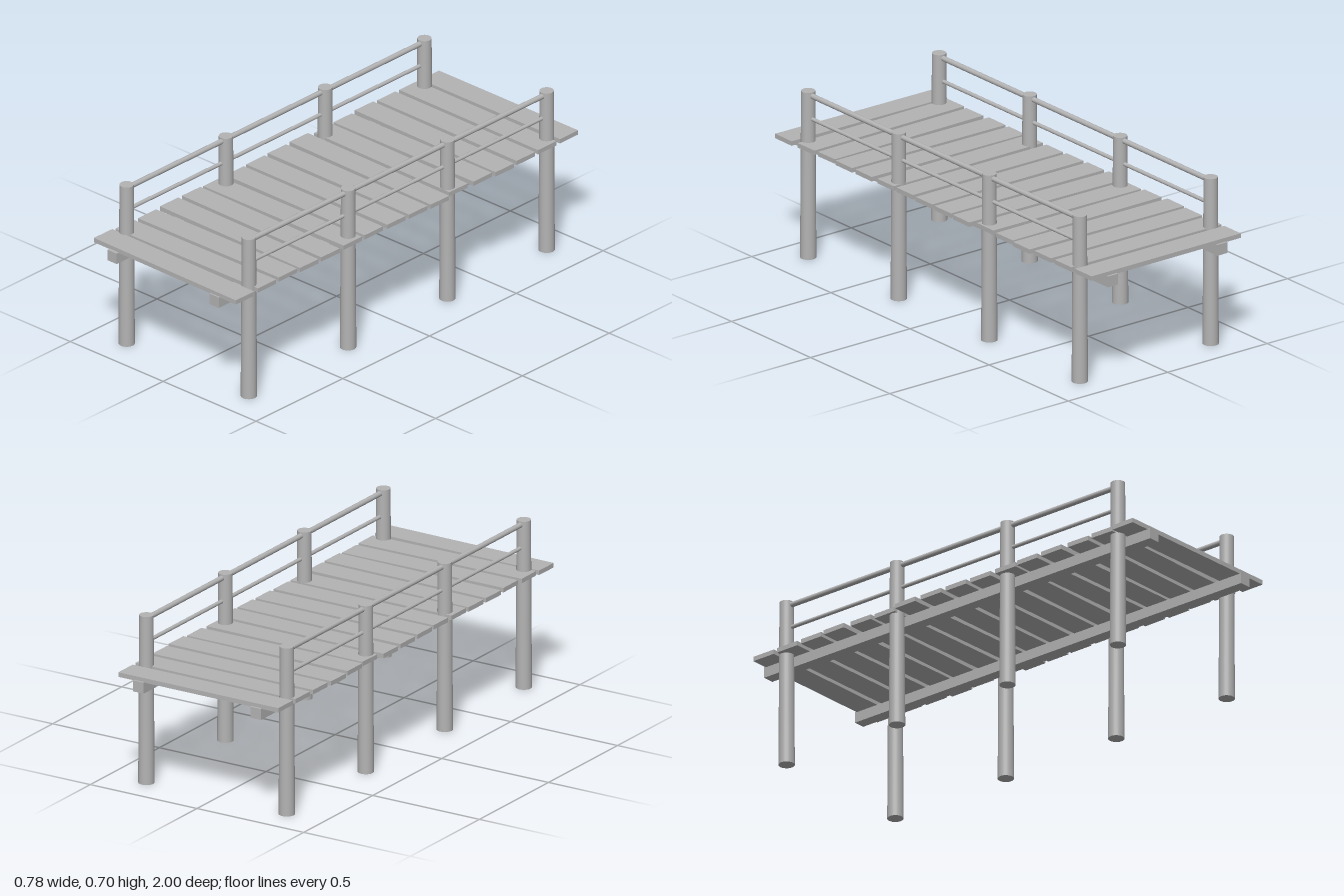
import * as THREE from 'three';

const wood = new THREE.MeshStandardMaterial({ color: 0xb3b3b3 });
wood.name = 'grey wood';

function add(parent, name, geometry, x, y, z) {
  const mesh = new THREE.Mesh(geometry, wood);
  mesh.name = name;
  mesh.position.set(x, y, z);
  parent.add(mesh);
  return mesh;
}

export function createModel() {
  const model = new THREE.Group();
  model.name = 'footbridge';

  // Deck: 16 uneven planks as [half width, skew]
  const planks = [
    [0.375, 0], [0.376, 0.006], [0.378, 0.006], [0.384, 0.013],
    [0.375, -0.006], [0.368, 0.013], [0.387, 0.018], [0.383, 0.007],
    [0.38, 0], [0.376, 0.006], [0.376, -0.006], [0.381, 0.016],
    [0.382, 0.013], [0.376, -0.01], [0.38, -0.012], [0.387, 0.013],
  ];
  const deck = new THREE.Group();
  deck.name = 'deck';
  model.add(deck);
  planks.forEach(([half, skew], i) => {
    const geometry = new THREE.BoxGeometry(half * 2, 0.019, 0.105);
    const plank = add(deck, 'plank', geometry, 0, 0.4835, -0.938 + i * 0.125);
    plank.rotation.y = -skew;
  });

  const beamGeometry = new THREE.BoxGeometry(0.05, 0.046, 2);
  const postGeometry = new THREE.CylinderGeometry(0.0285, 0.0325, 0.703, 24);
  const rail = (radius) => new THREE.CylinderGeometry(radius, radius, 1.72, 16).rotateX(Math.PI / 2);
  const topRailGeometry = rail(0.011);
  const lowerRailGeometry = rail(0.008);

  // Beam, tapered posts and two rails on each side
  for (const [side, label] of [[1, 'left'], [-1, 'right']]) {
    const group = new THREE.Group();
    group.name = label + 'Side';
    model.add(group);
    add(group, 'beam', beamGeometry, side * 0.275, 0.454, 0);
    for (let i = 0; i < 4; i++) {
      add(group, 'post', postGeometry, side * 0.329, 0.3515, (i - 1.5) * 0.572);
    }
    add(group, 'topRail', topRailGeometry, side * 0.329, 0.687, 0);
    add(group, 'lowerRail', lowerRailGeometry, side * 0.329, 0.59, 0);
  }
  return model;
}
